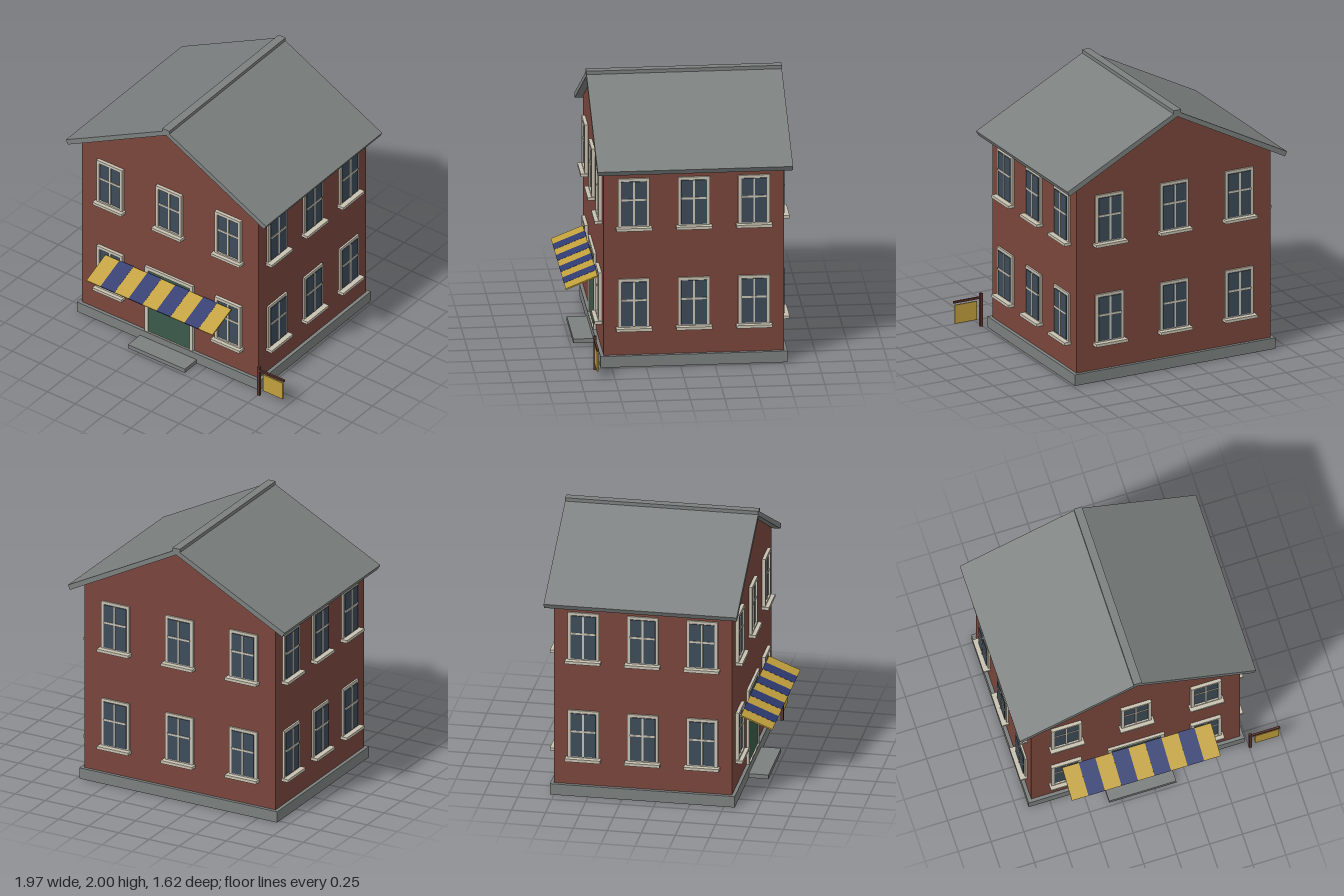
import * as THREE from 'three';

const mat = (name, color) => {
  const m = new THREE.MeshStandardMaterial({ color });
  m.name = name;
  return m;
};

export function createModel() {
  const brick = mat('brick', 0x7a463c);
  const slate = mat('slate', 0x7b807f);
  const trim = mat('trim', 0xc8c2b2);
  const glass = mat('glass', 0x3d4b58);
  const green = mat('doorGreen', 0x3b5a4a);
  const yellow = mat('yellow', 0xc2a03c);
  const blue = mat('blue', 0x2f3a70);
  const brown = mat('brown', 0x5c332d);

  const model = new THREE.Group();
  model.name = 'townHouse';

  // Box given by its lower and upper corners
  const box = (parent, name, material, [x0, y0, z0], [x1, y1, z1]) => {
    const mesh = new THREE.Mesh(new THREE.BoxGeometry(x1 - x0, y1 - y0, z1 - z0), material);
    mesh.position.set((x0 + x1) / 2, (y0 + y1) / 2, (z0 + z1) / 2);
    mesh.name = name;
    parent.add(mesh);
    return mesh;
  };
  // Outline in x and y, extruded from z0 to z1
  const prism = (name, material, points, z0, z1) => {
    const shape = new THREE.Shape(points.map(([x, y]) => new THREE.Vector2(x, y)));
    const geo = new THREE.ExtrudeGeometry(shape, { depth: z1 - z0, bevelEnabled: false });
    const mesh = new THREE.Mesh(geo, material);
    mesh.position.z = z0;
    mesh.name = name;
    model.add(mesh);
  };

  const cx = -0.09, cz = -0.1;      // middle of the house
  const halfW = 0.793, halfD = 0.655;

  // Foundation, step and gabled walls
  box(model, 'foundation', slate, [-0.91, 0, -0.78], [0.73, 0.085, 0.58]);
  box(model, 'doorStep', slate, [-0.345, 0, 0.58], [0.165, 0.032, 0.725]);
  prism('walls', brick, [
    [cx - halfW, 0.085], [cx + halfW, 0.085], [cx + halfW, 1.53], [cx, 1.952], [cx - halfW, 1.53],
  ], cz - halfD, cz + halfD);

  // Roof slabs and ridge cap
  for (const s of [1, -1]) {
    const slab = [[cx, 1.95], [cx + s * 0.88, 1.487], [cx + s * 0.898, 1.522], [cx, 1.99]];
    prism(s > 0 ? 'leftRoof' : 'rightRoof', slate, s > 0 ? slab : slab.reverse(), -0.812, 0.608);
  }
  box(model, 'ridgeCap', slate, [cx - 0.031, 1.965, -0.813], [cx + 0.031, 2, 0.609]);

  // Frame with a rectangular opening
  const frameGeo = (w, h, t, depth, openBottom) => {
    const pts = (a, b, c, d) => [[a, b], [c, b], [c, d], [a, d]].map(p => new THREE.Vector2(...p));
    const shape = new THREE.Shape(pts(-w / 2, 0, w / 2, h));
    shape.holes.push(new THREE.Path(pts(-w / 2 + t, openBottom ? 0.002 : t, w / 2 - t, h - t).reverse()));
    return new THREE.ExtrudeGeometry(shape, { depth, bevelEnabled: false });
  };

  // Window on the plane z = 0, standing on its sill
  const makeWindow = (frameD, glassD, barD) => {
    const g = new THREE.Group();
    g.name = 'window';
    const frame = new THREE.Mesh(frameGeo(0.23, 0.38, 0.024, frameD), trim);
    frame.name = 'windowFrame';
    g.add(frame);
    box(g, 'pane', glass, [-0.093, 0.022, 0.001], [0.093, 0.358, glassD]);
    box(g, 'uprightBar', trim, [-0.007, 0.022, 0.002], [0.007, 0.358, barD]);
    box(g, 'crossBar', trim, [-0.093, 0.213, 0.002], [0.093, 0.227, barD]);
    box(g, 'sill', trim, [-0.13, -0.01, 0], [0.13, 0.012, 0.054]);
    return g;
  };

  // Three windows on each floor of every wall; the door replaces one
  const walls = [
    { name: 'front', angle: 0, out: halfD, gap: 0.53, depths: [0.025, 0.012, 0.018] },
    { name: 'left', angle: Math.PI / 2, out: halfW, gap: 0.437, depths: [0.014, 0.021, 0.025] },
    { name: 'back', angle: Math.PI, out: halfD, gap: 0.53, depths: [0.014, 0.021, 0.025] },
    { name: 'right', angle: -Math.PI / 2, out: halfW, gap: 0.437, depths: [0.014, 0.021, 0.025] },
  ];
  for (const { name, angle, out, gap, depths } of walls) {
    const side = new THREE.Group();
    side.name = name + 'Windows';
    side.position.set(cx, 0, cz);
    side.rotation.y = angle;
    for (const y of [0.287, 1.054]) {
      for (const i of [-1, 0, 1]) {
        if (name === 'front' && i === 0 && y < 1) continue;
        const w = makeWindow(...depths);
        w.position.set(i * gap, y, out);
        side.add(w);
      }
    }
    model.add(side);
  }

  // Door and its surround
  const surround = new THREE.Mesh(frameGeo(0.43, 0.58, 0.029, 0.02, true), trim);
  surround.name = 'doorSurround';
  surround.position.set(cx, 0.085, 0.555);
  model.add(surround);
  box(model, 'door', green, [-0.278, 0.086, 0.55], [0.098, 0.64, 0.566]);

  // Sloping striped awning
  const awning = new THREE.Group();
  awning.name = 'awning';
  awning.position.set(cx, 0.567, 0.693);
  awning.rotation.x = Math.atan2(0.095, 0.235);
  const stripe = 1.13 / 9;
  for (let i = 0; i < 9; i++) {
    const x = -0.565 + i * stripe;
    const odd = i % 2;
    box(awning, 'awningStripe', odd ? blue : yellow,
      [x, -0.005, odd ? -0.128 : -0.125], [x + stripe, odd ? 0.006 : 0.005, 0.125]);
  }
  model.add(awning);

  // Hanging sign on a post
  box(model, 'signPost', brown, [0.748, 0, 0.614], [0.769, 0.255, 0.635]);
  box(model, 'signArm', brown, [0.765, 0.215, 0.617], [0.985, 0.23, 0.632]);
  box(model, 'signBoard', yellow, [0.795, 0.057, 0.619], [0.974, 0.2, 0.63]);

  return model;
}
